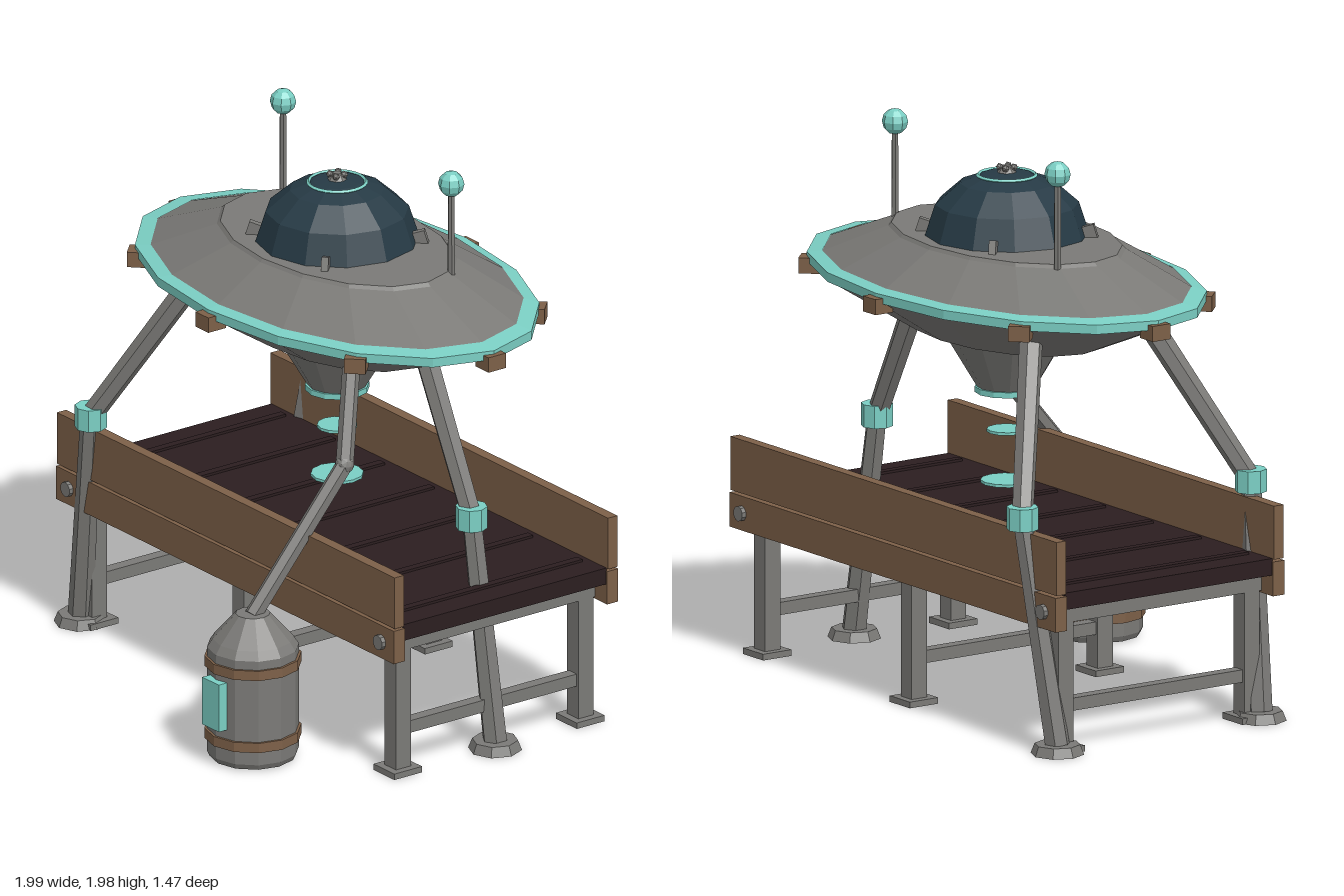
import * as THREE from 'three';

const mat = (name, color) => {
  const m = new THREE.MeshStandardMaterial({ color, flatShading: true, side: THREE.DoubleSide });
  m.name = name;
  return m;
};

export function createModel() {
  const grey = mat('metal grey', 0x7b7a77);
  const teal = mat('glow teal', 0x7bcfc4);
  const brown = mat('weathered brown', 0x7d6048);
  const dark = mat('dark plank', 0x2c1e20);
  const glass = mat('dark glass', 0x263a45);

  const root = new THREE.Group();
  root.name = 'saucerBench';
  const CZ = -0.145; // shared centre line of saucer and bench

  const add = (name, geo, m, x = 0, y = 0, z = 0) => {
    const mesh = new THREE.Mesh(geo, m);
    mesh.name = name;
    mesh.position.set(x, y, z);
    root.add(mesh);
    return mesh;
  };
  const box = (name, m, w, h, d, x, y, z) => add(name, new THREE.BoxGeometry(w, h, d), m, x, y, z);
  const cyl = (name, m, rTop, rBottom, h, sides, x, y, z) =>
    add(name, new THREE.CylinderGeometry(rTop, rBottom, h, sides), m, x, y, z);
  const lathe = (name, m, pts, sides, x, z, squash = 1) => {
    const mesh = add(name, new THREE.LatheGeometry(pts.map(p => new THREE.Vector2(...p)), sides), m, x, 0, z);
    mesh.scale.z = squash;
    return mesh;
  };
  // Straight strut between two points
  const strut = (name, m, a, b, rA, rB, sides = 6) => {
    const p = new THREE.Vector3(...a), q = new THREE.Vector3(...b);
    const dir = q.clone().sub(p);
    const mid = p.clone().add(q).multiplyScalar(0.5);
    const mesh = cyl(name, m, rB, rA, dir.length(), sides, mid.x, mid.y, mid.z);
    mesh.quaternion.setFromUnitVectors(new THREE.Vector3(0, 1, 0), dir.normalize());
    return mesh;
  };

  // Saucer hull, an ellipse in plan
  const SQ = 0.62;
  lathe('upperHull', grey, [[0.86, 1.475], [0.535, 1.6], [0.52, 1.612], [0, 1.612]], 16, 0, CZ, SQ);
  lathe('lowerHull', grey, [[0, 1.27], [0.45, 1.27], [0.885, 1.445]], 16, 0, CZ, SQ);
  lathe('rimBand', teal, [[0.85, 1.445], [0.9, 1.445], [0.9, 1.478], [0.83, 1.488]], 16, 0, CZ, SQ);

  // Rim clips
  for (let i = 0; i < 8; i++) {
    const a = i * Math.PI / 4;
    const clip = box('rimClip', brown, 0.075, 0.055, 0.075, 0.88 * Math.cos(a), 1.438, CZ + 0.548 * Math.sin(a));
    clip.rotation.y = -a;
  }

  // Emitter cone and floating beam rings
  cyl('emitterCone', grey, 0.225, 0.1, 0.21, 12, 0, 1.17, CZ);
  cyl('emitterRing', teal, 0.112, 0.112, 0.02, 12, 0, 1.062, CZ);
  cyl('beamDiscUpper', teal, 0.07, 0.07, 0.01, 12, 0, 0.915, CZ);
  cyl('beamDiscLower', teal, 0.092, 0.092, 0.01, 12, 0, 0.735, CZ);

  // Dome with its halo, cap and brackets
  lathe('dome', glass, [[0.287, 1.605], [0.25, 1.72], [0.165, 1.795], [0.085, 1.825], [0, 1.835]], 12, 0, CZ);
  const halo = add('domeHalo', new THREE.TorusGeometry(0.1, 0.007, 4, 24), teal, 0, 1.82, CZ);
  halo.rotation.x = Math.PI / 2;
  cyl('domeCap', grey, 0.015, 0.035, 0.025, 8, 0, 1.842, CZ);
  for (let i = 0; i < 4; i++) {
    const a = Math.PI / 4 + i * Math.PI / 2, c = Math.cos(a), s = Math.sin(a);
    add('capStud', new THREE.IcosahedronGeometry(0.014, 0), grey, 0.025 * c, 1.848, CZ + 0.025 * s);
    const bracket = box('domeBracket', grey, 0.05, 0.05, 0.025, 0.288 * c, 1.628, CZ + 0.288 * s);
    bracket.rotation.set(0, -a, 0.3);
  }

  // Antennas
  for (const s of [-1, 1]) {
    cyl('antennaRod', grey, 0.012, 0.014, 0.32, 6, 0.482 * s, 1.75, -0.275);
    add('antennaBall', new THREE.SphereGeometry(0.046, 8, 6), teal, 0.482 * s, 1.935, -0.275);
  }

  // Three landing legs: hip, knee, foot
  const legs = [
    [[0.5, 1.35, CZ], [0.77, 0.82, CZ], [0.905, 0.03, CZ]],
    ...[-1, 1].map(s => [[-0.48, 1.38, CZ + 0.24 * s], [-0.77, 0.82, CZ + 0.485 * s], [-0.9, 0.03, CZ + 0.43 * s]]),
  ];
  for (const [hip, knee, foot] of legs) {
    strut('upperLeg', grey, hip, knee, 0.042, 0.038);
    strut('lowerLeg', grey, knee, foot, 0.036, 0.045);
    cyl('kneeJoint', teal, 0.056, 0.056, 0.08, 8, knee[0], knee[1], knee[2]);
    cyl('footPad', grey, 0.08, 0.094, 0.035, 8, foot[0], 0.0175, foot[2]);
  }

  // Bench deck with raised slats
  box('deck', dark, 1.92, 0.06, 0.88, 0, 0.553, CZ);
  for (let i = -3; i <= 3; i++) box('deckSlat', dark, 0.03, 0.01, 0.82, i * 0.283, 0.587, CZ);

  // Side boards with bolts
  for (const s of [-1, 1]) {
    box('upperBoard', brown, 1.935, 0.19, 0.04, 0, 0.675, CZ + 0.462 * s);
    box('lowerBoard', brown, 1.935, 0.122, 0.048, 0, 0.511, CZ + 0.462 * s);
    for (const x of [-0.895, 0.895]) {
      const bolt = cyl('boardBolt', grey, 0.027, 0.027, 0.02, 10, x, 0.511, CZ + 0.492 * s);
      bolt.rotation.x = Math.PI / 2;
    }
  }

  // Bench frames
  for (const x of [-0.87, 0, 0.87]) {
    box('crossBeam', grey, 0.065, 0.065, 0.87, x, 0.492, CZ);
    box('stretcher', grey, 0.045, 0.045, 0.76, x, 0.163, CZ);
    for (const s of [-1, 1]) {
      box('benchLeg', grey, 0.065, 0.46, 0.065, x, 0.235, CZ + 0.395 * s);
      box('benchFoot', grey, 0.12, 0.022, 0.12, x, 0.011, CZ + 0.395 * s);
    }
  }

  // Fuel barrel
  const BX = 0.45, BZ = 0.56;
  lathe('barrel', grey, [[0, 0.005], [0.15, 0.005], [0.16, 0.025], [0.16, 0.41], [0.14, 0.44], [0.06, 0.53], [0, 0.53]], 12, BX, BZ);
  for (const y of [0.092, 0.36])
    lathe('barrelBand', brown, [[0.155, y - 0.018], [0.169, y - 0.018], [0.169, y + 0.018], [0.155, y + 0.018]], 12, BX, BZ);
  box('barrelPanel', teal, 0.095, 0.175, 0.035, BX, 0.232, 0.726);

  // Fuel pipe from hull to barrel
  const elbow = [0.447, 0.985, 0.16];
  strut('pipeUpper', grey, [0.355, 1.32, 0.06], elbow, 0.031, 0.031);
  strut('pipeLower', grey, elbow, [BX, 0.52, BZ], 0.031, 0.031);
  add('pipeElbow', new THREE.IcosahedronGeometry(0.034, 1), grey, ...elbow);

  return root;
}
